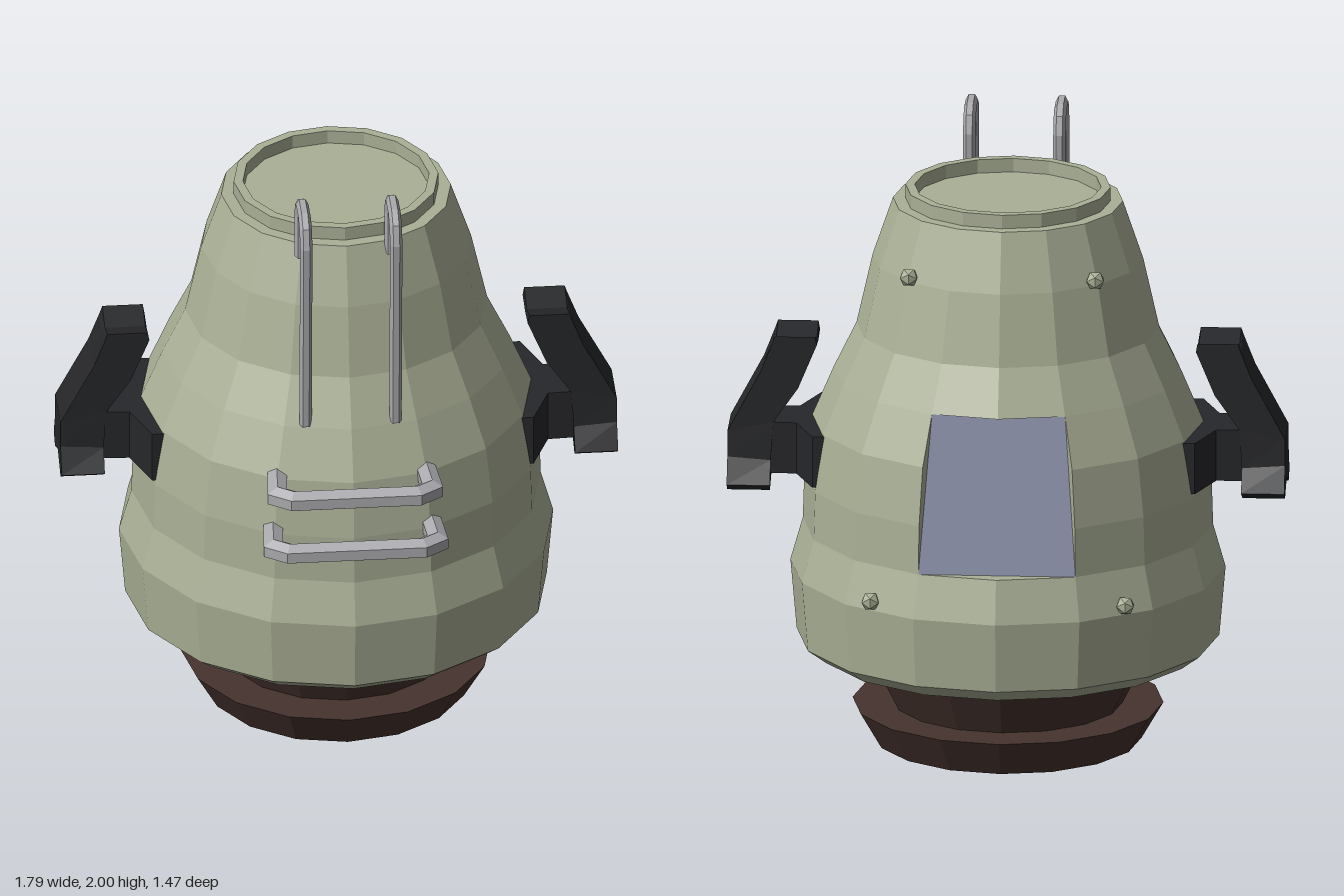
import * as THREE from 'three';

const SIDES = 16, STEP = Math.PI * 2 / SIDES;
const mat = (color, side = THREE.FrontSide) =>
  new THREE.MeshStandardMaterial({ color, flatShading: true, side });
const shell = mat(0xaab096, THREE.DoubleSide);
const black = mat(0x26272a), brown = mat(0x46332f), steel = mat(0xaaaaae);
const glass = mat(0x8d92ab, THREE.DoubleSide);
const V = (x, y, z) => new THREE.Vector3(x, y, z);

function add(parent, name, geometry, material) {
  const mesh = new THREE.Mesh(geometry, material);
  mesh.name = name;
  parent.add(mesh);
  return mesh;
}

function triangles(points) {
  const g = new THREE.BufferGeometry().setFromPoints(points);
  g.computeVertexNormals();
  return g;
}

// Closed skin over a row of equal-length rings, capped at both ends
function loft(rings) {
  const out = [], n = rings[0].length, last = rings[rings.length - 1];
  for (let i = 0; i < rings.length - 1; i++) {
    for (let j = 0; j < n; j++) {
      const k = (j + 1) % n, p = rings[i], q = rings[i + 1];
      out.push(p[j], p[k], q[k], p[j], q[k], q[j]);
    }
  }
  for (let k = 1; k < n - 1; k++) {
    const a = (1 + k) % n, b = (2 + k) % n;
    out.push(rings[0][1], rings[0][b], rings[0][a], last[1], last[a], last[b]);
  }
  return triangles(out);
}

// Six-sided rod along a planar path with mitred corners; n is the plane normal
function rod(path, n, radius) {
  return loft(path.map((p, i) => {
    const a = p.clone().sub(path[Math.max(i - 1, 0)]).normalize();
    const b = path[Math.min(i + 1, path.length - 1)].clone().sub(p).normalize();
    const t = a.clone().add(b).normalize();
    const stretch = 1 / t.dot(a.lengthSq() ? a : b);
    const s = n.clone().cross(t);
    return Array.from({ length: 6 }, (_, j) => {
      const th = (j + 0.5) * Math.PI / 3;
      return p.clone().addScaledVector(s, Math.cos(th) * radius * stretch)
        .addScaledVector(n, Math.sin(th) * radius);
    });
  }));
}

const lathe = (pts, segments = SIDES, start = 0, length = Math.PI * 2) =>
  new THREE.LatheGeometry(pts.map(p => new THREE.Vector2(...p)), segments, start, length);

export function createModel() {
  const model = new THREE.Group();
  model.name = 'canister';
  const core = new THREE.Group();
  core.name = 'core';
  core.position.z = -0.04;
  model.add(core);

  // Body shell: the middle band leaves out the two back facets for the window
  const band = [[0.66, 0.72], [0.655, 0.88], [0.628, 1.07], [0.56, 1.23]];
  add(core, 'lowerBody', lathe([[0.3, 0.36], [0.5, 0.345], [0.62, 0.305], [0.68, 0.35],
    [0.70, 0.58], band[0]]), shell);
  add(core, 'middleBody', lathe(band, SIDES - 2, Math.PI + STEP, Math.PI * 2 - 2 * STEP), shell);
  add(core, 'upperBody', lathe([band[3], [0.487, 1.38], [0.435, 1.61], [0.37, 1.8], [0.33, 1.8],
    [0.33, 1.845], [0.30, 1.845], [0.30, 1.8], [0, 1.8]]), shell);

  // Window recess: flat pane, ledges above and below, slim side walls
  const at = ([r, y], k) => V(r * Math.sin(k * STEP), y, -r * Math.cos(k * STEP));
  const [lo, , , hi] = band;
  add(core, 'window', triangles([at(lo, 1), at(lo, -1), at(hi, -1),
    at(lo, 1), at(hi, -1), at(hi, 1)]), glass);
  const frame = [];
  for (const p of [lo, hi]) frame.push(at(p, -1), at(p, 0), at(p, 1));
  for (const k of [-1, 1]) {
    for (let i = 1; i < 3; i++) frame.push(at(lo, k), at(band[i], k), at(band[i + 1], k));
  }
  add(core, 'windowFrame', triangles(frame), shell);

  // Base: tapered neck on a flared foot
  add(core, 'neck', lathe([[0, 0.1], [0.36, 0.1], [0.475, 0.325], [0, 0.325]]), brown);
  add(core, 'foot', lathe([[0, 0], [0.43, 0], [0.5, 0.12], [0, 0.12]]), brown);

  // Side arms: a strap on the body and a curved grip with notched ends
  const half = [[0.54, 0.245], [0.615, 0.248], [0.675, 0.095], [0.78, 0.09]];
  const outline = [...half, ...half.map(([x, z]) => [x, -z]).reverse()];
  const strapGeo = new THREE.ExtrudeGeometry(
    new THREE.Shape(outline.map(p => new THREE.Vector2(...p))),
    { depth: 0.17, bevelEnabled: false });
  strapGeo.rotateX(-Math.PI / 2).translate(0, 0.895, 0);
  // outer x, outer y, inner x, inner y, half width, lift of the middle
  const sections = [
    [0.745, 1.353, 0.615, 1.353, 0.093, -0.028],
    [0.755, 1.325, 0.61, 1.325, 0.093, -0.01],
    [0.79, 1.235, 0.67, 1.18, 0.093, 0],
    [0.897, 1.035, 0.75, 1.065, 0.093, 0],
    [0.897, 0.95, 0.758, 0.94, 0.1, 0],
    [0.897, 0.868, 0.758, 0.868, 0.145, 0.035],
    [0.897, 0.84, 0.76, 0.84, 0.1, 0.045],
  ];
  const gripGeo = loft(sections.map(([xo, yo, xi, yi, w, d]) => [
    V(xo, yo, -w), V(xo, yo + d, 0), V(xo, yo, w),
    V(xi, yi, w), V(xi, yi + d, 0), V(xi, yi, -w)]));
  for (const [name, turn] of [['leftArm', 0], ['rightArm', Math.PI]]) {
    const arm = new THREE.Group();
    arm.name = name;
    arm.rotation.y = turn;
    add(arm, 'strap', strapGeo, black);
    add(arm, 'grip', gripGeo, black);
    core.add(arm);
  }

  // Tall hooked rails over the front shoulder
  const rail = [[1.235, 0.482], [1.9, 0.51], [1.957, 0.492], [1.982, 0.45],
    [1.982, 0.365], [1.96, 0.325], [1.91, 0.308], [1.76, 0.308]];
  for (const x of [-0.145, 0.145]) {
    add(model, 'frontRail', rod(rail.map(([y, z]) => V(x, y, z)), V(1, 0, 0), 0.02), steel);
  }

  // Two horizontal grab bars on the front
  for (const [y, w, z] of [[1.065, 0.25, 0.678], [0.885, 0.265, 0.702]]) {
    const side = [[w - 0.01, z - 0.16], [w, z - 0.035], [w - 0.05, z]];
    const path = [...side.map(([x, zz]) => V(-x, y, zz)),
      ...side.map(([x, zz]) => V(x, y, zz)).reverse()];
    add(model, 'grabBar', rod(path, V(0, 1, 0), 0.036), steel);
  }

  // Rivets on the back quarters
  const rivetGeo = new THREE.IcosahedronGeometry(0.032, 0);
  for (const s of [-1, 1]) {
    add(model, 'lowerRivet', rivetGeo, shell).position.set(s * 0.41, 0.61, -0.595);
    add(model, 'upperRivet', rivetGeo, shell).position.set(s * 0.30, 1.63, -0.365);
  }
  return model;
}
